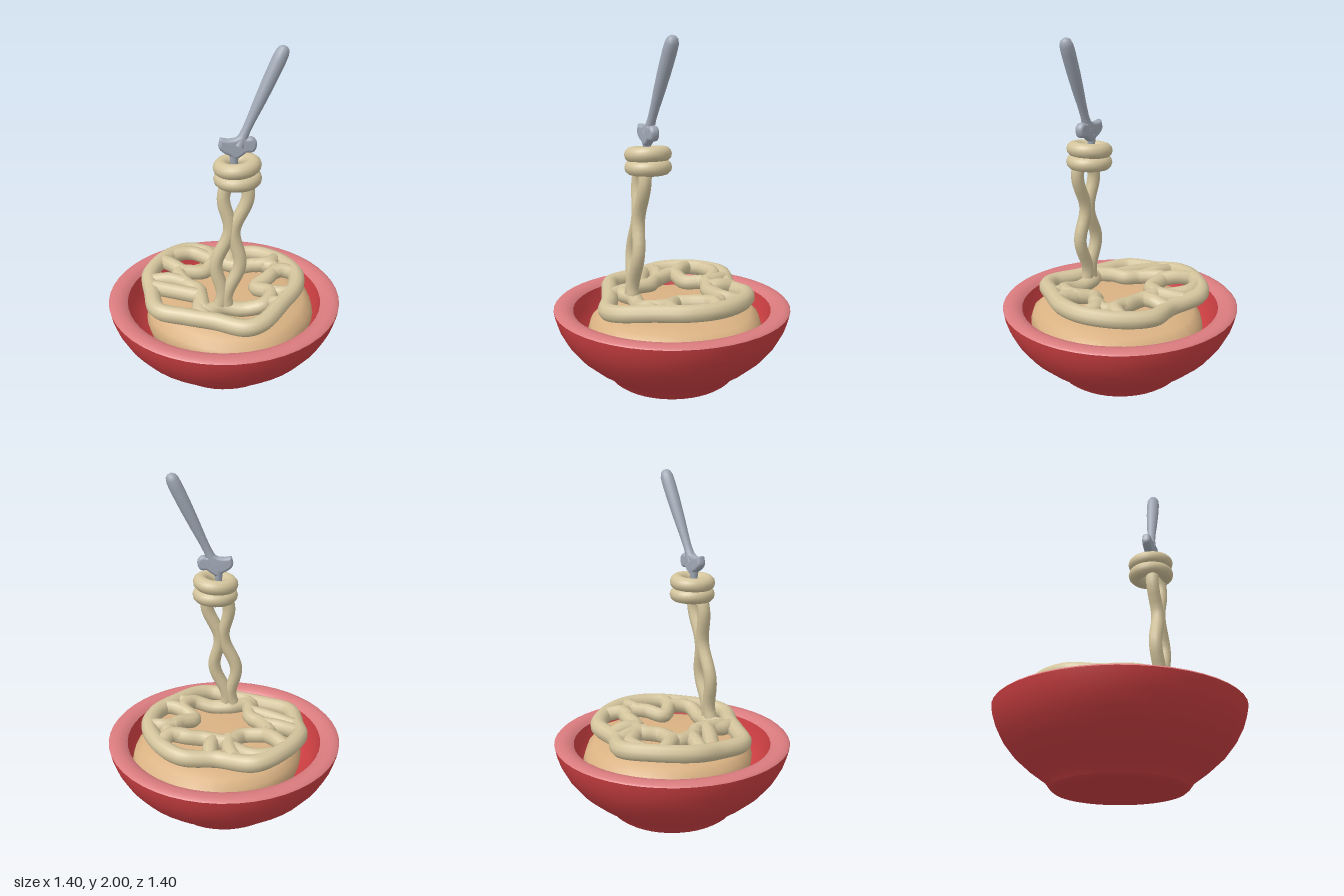
import * as THREE from 'three';
import { mergeVertices } from 'three/addons/utils/BufferGeometryUtils.js';

const V3 = (p) => new THREE.Vector3(...p);
const material = (name, color) => {
  const m = new THREE.MeshStandardMaterial({ color });
  m.name = name;
  return m;
};

export function createModel() {
  const red = material('bowl red', 0xcc3f42);
  const pink = material('rim pink', 0xd97b7e);
  const tan = material('broth tan', 0xdab283);
  const cream = material('noodle cream', 0xd3c49c);
  const steel = material('fork steel', 0xa2aab7);

  const model = new THREE.Group();
  model.name = 'noodleBowl';
  const add = (name, geometry, mat, parent = model) => {
    const mesh = new THREE.Mesh(geometry, mat);
    mesh.name = name;
    parent.add(mesh);
    return mesh;
  };
  const lathe = (pts, seg = 48) =>
    new THREE.LatheGeometry(pts.map(([x, y]) => new THREE.Vector2(x, y)), seg);
  const tube = (pts, radius, closed = false, seg = pts.length * 8) =>
    new THREE.TubeGeometry(new THREE.CatmullRomCurve3(pts.map(V3), closed), seg, radius, 10, closed);

  // Bowl: outside, rounded rim and inside
  const bowl = new THREE.Group();
  bowl.name = 'bowl';
  model.add(bowl);
  add('bowlBase', lathe([[0, 0], [0.35, 0.005], [0.37, 0.02]]), red, bowl);
  add('bowlOutside', lathe([[0.37, 0.02], [0.4, 0.06], [0.49, 0.125], [0.57, 0.195],
    [0.63, 0.27], [0.67, 0.345], [0.69, 0.405], [0.698, 0.445]]), red, bowl);
  add('bowlRim', lathe([[0.698, 0.445], [0.69, 0.454], [0.665, 0.461], [0.635, 0.46],
    [0.605, 0.452], [0.585, 0.435]]), pink, bowl);
  add('bowlInside', lathe([[0.585, 0.435], [0.565, 0.35], [0.52, 0.26], [0.42, 0.18],
    [0.25, 0.13], [0, 0.12]]), red, bowl);

  // Broth mound: a low dome whose radius varies around the bowl, starting at the front
  const reach = [0.51, 0.55, 0.525, 0.545, 0.57, 0.53, 0.535, 0.5, 0.48, 0.47, 0.48, 0.475];
  let dome = lathe([[0.86, 0.18], [0.96, 0.26], [1, 0.33], [0.97, 0.385], [0.88, 0.43],
    [0.7, 0.455], [0.4, 0.46], [0, 0.46]], 36);
  const pos = dome.attributes.position;
  for (let i = 0; i < pos.count; i++) {
    const x = pos.getX(i), z = pos.getZ(i);
    const t = ((Math.atan2(x, z) / (Math.PI * 2) + 1) % 1) * 12;
    const k = Math.floor(t) % 12;
    const r = THREE.MathUtils.lerp(reach[k], reach[(k + 1) % 12], t - Math.floor(t));
    pos.setX(i, x * r);
    pos.setZ(i, z * r);
  }
  dome.deleteAttribute('uv');
  dome.deleteAttribute('normal');
  dome = mergeVertices(dome, 1e-4);
  dome.computeVertexNormals();
  add('brothMound', dome, tan);

  // Noodle nest: outer loop, inner loop and strands joining them
  const nest = new THREE.Group();
  nest.name = 'noodleNest';
  model.add(nest);
  add('outerNoodle', tube([[-0.46, 0.53, -0.08], [-0.43, 0.51, 0.08], [-0.37, 0.5, 0.27],
    [-0.2, 0.5, 0.33], [-0.04, 0.5, 0.37], [0.14, 0.5, 0.43], [0.23, 0.51, 0.39],
    [0.34, 0.53, 0.22], [0.43, 0.54, 0.04], [0.43, 0.54, -0.13], [0.32, 0.53, -0.31],
    [0.17, 0.52, -0.4], [-0.02, 0.51, -0.37], [-0.24, 0.53, -0.41], [-0.38, 0.54, -0.28]],
  0.05, true), cream, nest);
  add('innerNoodle', tube([[-0.13, 0.53, 0.18], [-0.1, 0.51, 0.28], [0, 0.51, 0.24],
    [0.12, 0.5, 0.24], [0.24, 0.53, 0.23], [0.28, 0.54, 0.12], [0.19, 0.52, 0.03],
    [0.27, 0.54, -0.06], [0.31, 0.54, -0.17], [0.2, 0.54, -0.21], [0.08, 0.53, -0.2],
    [-0.06, 0.54, -0.23], [-0.13, 0.53, -0.13], [-0.28, 0.54, -0.1], [-0.22, 0.53, 0.03],
    [-0.15, 0.53, 0.09]], 0.045, true), cream, nest);
  const links = [
    [[-0.06, 0.54, -0.2], [-0.08, 0.54, -0.3], [-0.12, 0.53, -0.38]],
    [[0.02, 0.53, -0.2], [0.03, 0.54, -0.29], [0.02, 0.52, -0.37]],
    [[0.18, 0.54, -0.2], [0.28, 0.55, -0.22], [0.32, 0.53, -0.31]],
    [[-0.25, 0.54, -0.1], [-0.33, 0.55, -0.17], [-0.4, 0.54, -0.24]],
    [[-0.08, 0.53, -0.27], [-0.22, 0.54, -0.35], [-0.36, 0.54, -0.31]],
    [[-0.22, 0.53, 0.02], [-0.33, 0.54, -0.01], [-0.45, 0.52, -0.02]],
    [[-0.13, 0.53, 0.16], [-0.25, 0.53, 0.12], [-0.42, 0.52, 0.05]],
    [[-0.13, 0.52, 0.2], [-0.13, 0.51, 0.28], [-0.08, 0.5, 0.36]],
    [[0.25, 0.53, 0.09], [0.33, 0.54, 0.12], [0.39, 0.54, 0.12]],
    [[0.24, 0.53, 0.22], [0.31, 0.53, 0.22], [0.33, 0.52, 0.26]],
    [[0.28, 0.54, -0.1], [0.35, 0.55, -0.13], [0.42, 0.54, -0.12]],
  ];
  links.forEach((pts) => add('linkNoodle', tube(pts, 0.045), cream, nest));

  // Two lifted strands that part and cross on the way up
  const lifted = new THREE.Group();
  lifted.name = 'liftedNoodles';
  model.add(lifted);
  for (const side of [-1, 1]) {
    const pts = [];
    for (let i = 0; i <= 18; i++) {
      const y = 0.54 + i * 0.0433;
      const spread = 0.012 + 0.055 * Math.sin(Math.PI * (y - 0.59) / 0.41) ** 2;
      pts.push([0.005 + (y - 0.54) * 0.1 + side * spread, y, 0.25 - (y - 0.54) * 0.067]);
    }
    add('liftedStrand', tube(pts, 0.038, false, 54), cream, lifted);
  }

  // Noodle coils wound under the fork head
  [[0.08, 1.293, 0.03], [0.077, 1.365, 0.1]].forEach(([x, y, tilt]) => {
    const coil = add('noodleCoil', new THREE.TorusGeometry(0.09, 0.043, 12, 32), cream, lifted);
    coil.rotation.set(Math.PI / 2, tilt, 0);
    coil.position.set(x, y, 0.167);
  });

  // Fork: rounded head plate, short tine stub and tapered handle
  const fork = new THREE.Group();
  fork.name = 'fork';
  model.add(fork);
  const outline = new THREE.Shape();
  outline.moveTo(-0.085, 0.03);
  outline.splineThru([[-0.09, -0.005], [-0.065, -0.03], [-0.035, -0.045], [-0.01, -0.062],
    [0.02, -0.045], [0.045, -0.027], [0.08, -0.025], [0.092, 0.01], [0.075, 0.033],
    [0.045, 0.03], [0.02, 0.045], [-0.01, 0.03], [-0.05, 0.025], [-0.085, 0.03],
  ].map((p) => new THREE.Vector2(...p)));
  let plate = new THREE.ExtrudeGeometry(outline, {
    depth: 0.012, bevelThickness: 0.02, bevelSize: 0.016, bevelOffset: -0.004,
    bevelSegments: 4, curveSegments: 36,
  }).translate(0, 0, -0.006);
  plate.deleteAttribute('uv');
  plate.deleteAttribute('normal');
  plate = mergeVertices(plate, 1e-4);
  plate.computeVertexNormals();
  const head = add('forkHead', plate, steel, fork);
  head.position.set(0.078, 1.482, 0.167);
  head.rotation.y = 0.12;
  add('forkTines', new THREE.CylinderGeometry(0.028, 0.014, 0.12, 12), steel, fork)
    .position.set(0.06, 1.39, 0.168);

  const from = V3([0.085, 1.48, 0.168]);
  const along = V3([0.318, 2.0, 0.1]).sub(from);
  const len = along.length();
  const handle = add('forkHandle', lathe([[0.034, 0], [0.027, 0.09], [0.024, 0.16], [0.026, 0.28],
    [0.032, 0.45], [0.037, 0.65], [0.039, 0.85], [0.037, 0.93], [0.029, 0.975], [0.015, 0.995],
    [0, 1]].map(([r, t]) => [r, t * len]), 16), steel, fork);
  handle.position.copy(from);
  handle.quaternion.setFromUnitVectors(new THREE.Vector3(0, 1, 0), along.normalize());

  return model;
}
